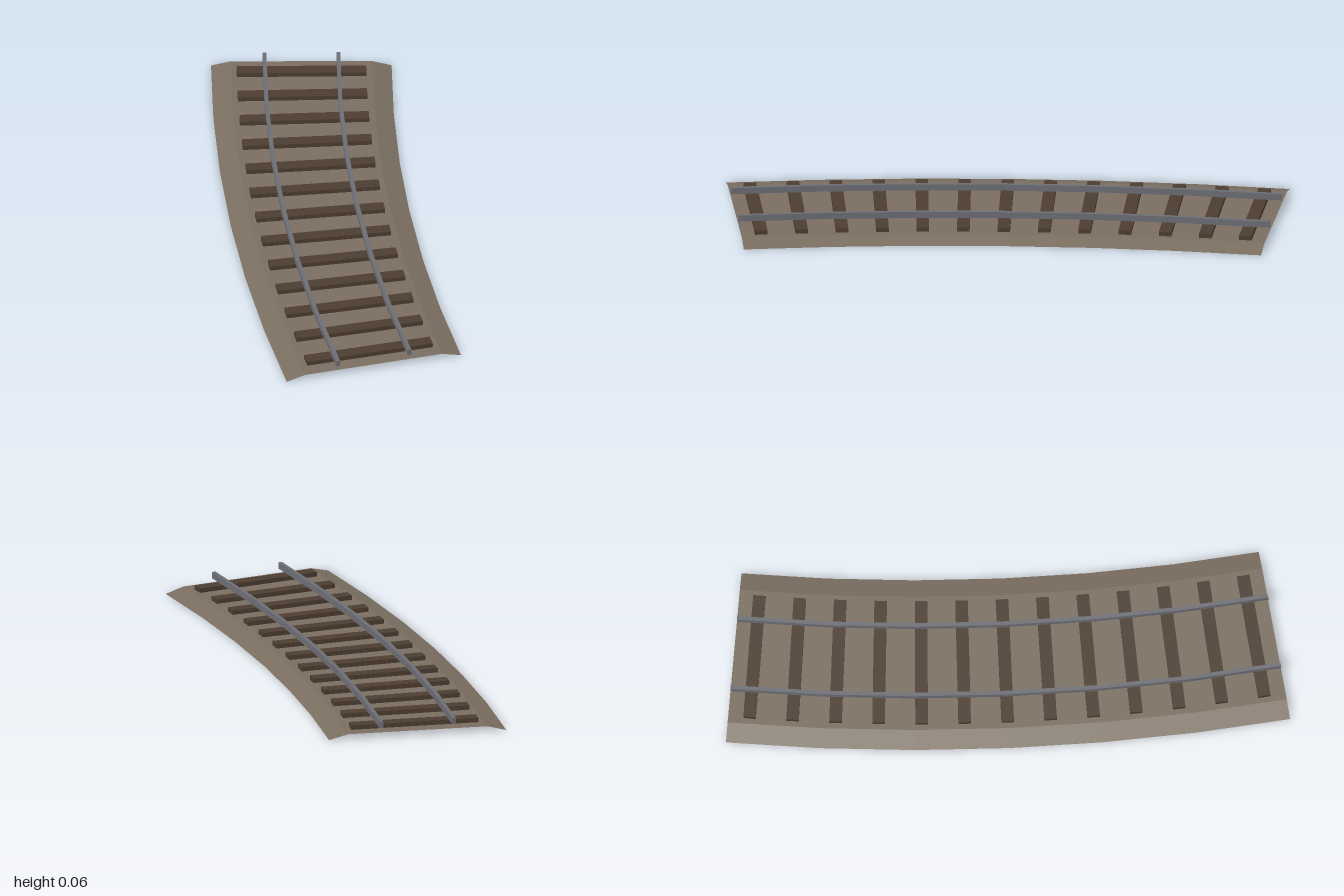
import * as THREE from 'three';

// Track curve: 15 degree arc, starting at the back and bending towards +x
const R = 7.405, CX = 7.2825, ARC = THREE.MathUtils.degToRad(15);
const SEGMENTS = 6, SLEEPERS = 13;

// Point at angle t along the arc, offset s sideways (positive = inside of bend)
function onTrack(t, s, y) {
  return [CX - (R - s) * Math.cos(t), y, -1 + (R - s) * Math.sin(t)];
}

// Sweep a [sideways, height] profile along the arc; closed profiles get end caps
function sweep(profile, closed) {
  const pos = [];
  const n = profile.length;
  const quad = (a, b, c, d) => pos.push(...a, ...b, ...c, ...a, ...c, ...d);
  for (let j = 0; j < SEGMENTS; j++) {
    const t0 = ARC * j / SEGMENTS, t1 = ARC * (j + 1) / SEGMENTS;
    for (let i = 0; i < (closed ? n : n - 1); i++) {
      const p = profile[i], q = profile[(i + 1) % n];
      quad(onTrack(t0, ...p), onTrack(t0, ...q), onTrack(t1, ...q), onTrack(t1, ...p));
    }
  }
  if (closed) {
    quad(...profile.map(p => onTrack(ARC, ...p)));
    quad(...profile.map(p => onTrack(0, ...p)).reverse());
  }
  const geo = new THREE.BufferGeometry();
  geo.setAttribute('position', new THREE.Float32BufferAttribute(pos, 3));
  geo.computeVertexNormals();
  return geo;
}

export function createModel() {
  const model = new THREE.Group();
  model.name = 'curvedTrack';
  const ballastMat = new THREE.MeshStandardMaterial({ color: 0x7a6e60, side: THREE.DoubleSide, flatShading: true });
  const sleeperMat = new THREE.MeshStandardMaterial({ color: 0x4d3d31 });
  const railMat = new THREE.MeshStandardMaterial({ color: 0x6c6e74, flatShading: true });

  const add = (parent, name, geo, mat) => {
    const mesh = new THREE.Mesh(geo, mat);
    mesh.name = name;
    parent.add(mesh);
    return mesh;
  };

  // Ballast bed: thin open sheet with sloping shoulders
  const half = 0.3225, flat = 0.253, top = 0.018;
  add(model, 'ballast', sweep([[half, 0], [flat, top], [-flat, top], [-half, 0]], false), ballastMat);

  // Sleepers, sunk through the bed and square to the curve
  const sleepers = new THREE.Group();
  sleepers.name = 'sleepers';
  model.add(sleepers);
  const sleeperGeo = new THREE.BoxGeometry(0.463, 0.021, 0.045);
  for (let i = 0; i < SLEEPERS; i++) {
    const t = ARC * (i + 0.5) / SLEEPERS;
    const sleeper = add(sleepers, 'sleeper', sleeperGeo, sleeperMat);
    sleeper.position.set(...onTrack(t, 0, 0.0235));
    sleeper.rotation.y = t;
  }

  // Pair of rails resting on the sleepers
  const w = 0.007, y0 = 0.034, y1 = 0.057;
  for (const [name, s] of [['leftRail', 0.132], ['rightRail', -0.132]]) {
    add(model, name, sweep([[s - w, y0], [s + w, y0], [s + w, y1], [s - w, y1]], true), railMat);
  }
  return model;
}
